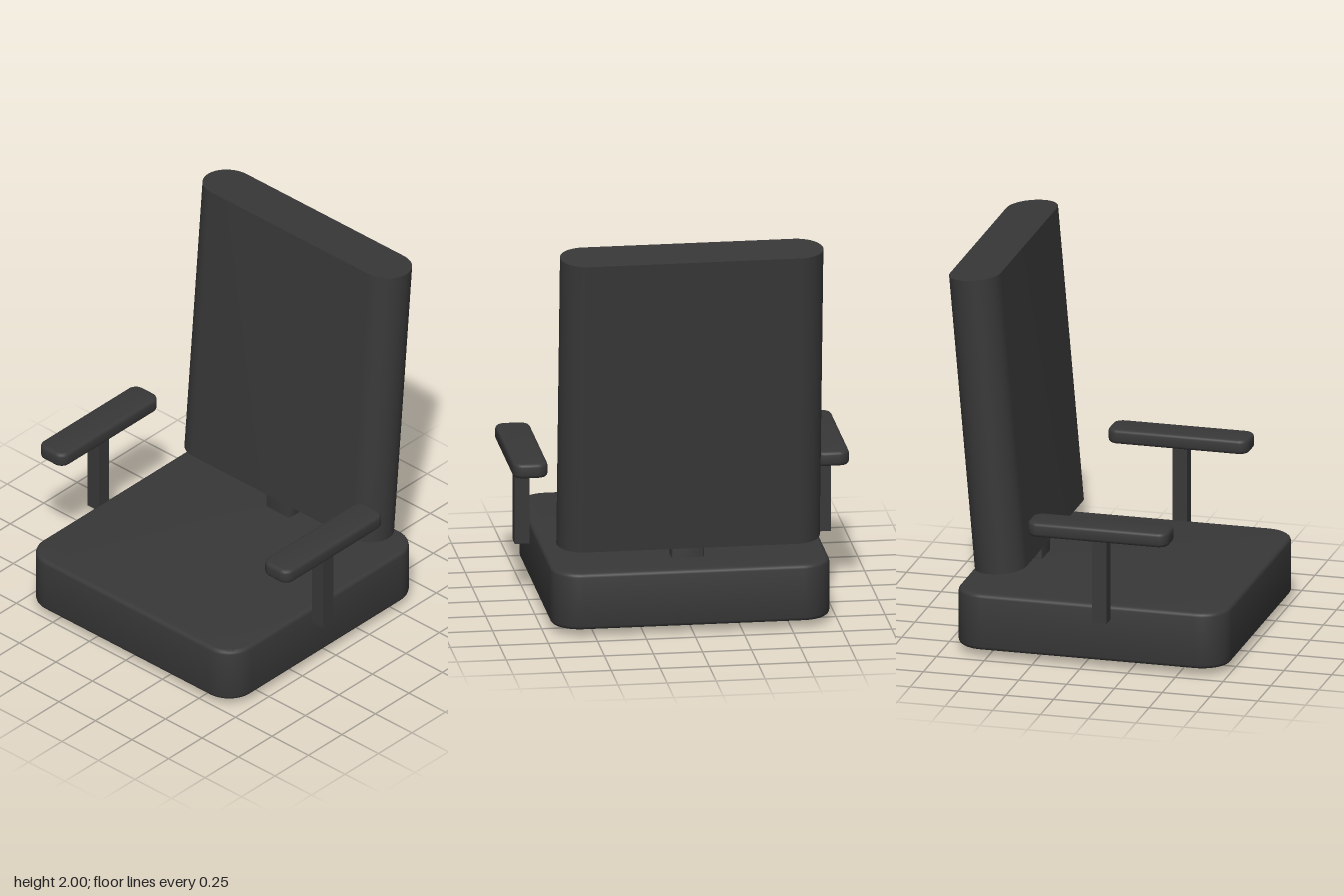
import * as THREE from 'three';
import { toCreasedNormals } from 'three/addons/utils/BufferGeometryUtils.js';

const upholstery = new THREE.MeshStandardMaterial({ color: 0x383838 });
upholstery.name = 'dark grey upholstery';

// Slab centred on its origin: rounded in plan, with an optional soft rim above and below
function roundedSlab(width, height, depth, radius, bevel = 0) {
  const x = width / 2 - bevel, y = depth / 2 - bevel, r = radius - bevel;
  const shape = new THREE.Shape();
  shape.moveTo(-x + r, -y);
  shape.lineTo(x - r, -y);
  shape.absarc(x - r, -y + r, r, -Math.PI / 2, 0);
  shape.lineTo(x, y - r);
  shape.absarc(x - r, y - r, r, 0, Math.PI / 2);
  shape.lineTo(-x + r, y);
  shape.absarc(-x + r, y - r, r, Math.PI / 2, Math.PI);
  shape.lineTo(-x, -y + r);
  shape.absarc(-x + r, -y + r, r, Math.PI, Math.PI * 1.5);
  const geometry = new THREE.ExtrudeGeometry(shape, {
    depth: height - 2 * bevel,
    bevelEnabled: bevel > 0,
    bevelSize: bevel,
    bevelThickness: bevel,
    bevelSegments: 3,
    curveSegments: 8,
  });
  geometry.rotateX(-Math.PI / 2);
  geometry.center();
  return toCreasedNormals(geometry, 0.7);
}

export function createModel() {
  const model = new THREE.Group();
  model.name = 'chair';

  function add(name, geometry, x, y, z, parent = model) {
    const mesh = new THREE.Mesh(geometry, upholstery);
    mesh.name = name;
    mesh.position.set(x, y, z);
    parent.add(mesh);
    return mesh;
  }

  // Seat cushion
  add('seat', roundedSlab(1.42, 0.296, 1.42, 0.15, 0.02), 0, 0.19, 0.03);

  // Backrest, leaning back, with fully rounded sides and flat ends
  const backrest = add('backrest', roundedSlab(1.34, 1.555, 0.266, 0.132), 0, 1.214, -0.537);
  backrest.rotation.x = -0.087;

  // Bracket running through the seat into the backrest
  add('backSupport', roundedSlab(0.166, 0.6, 0.084, 0.012, 0.006), 0, 0.303, -0.423);

  // Armrests: a pad on a square post, on both sides
  const padGeometry = roundedSlab(0.178, 0.076, 0.738, 0.055, 0.018);
  const postGeometry = new THREE.BoxGeometry(0.076, 0.46, 0.076);
  for (const [side, sign] of [['left', 1], ['right', -1]]) {
    const arm = new THREE.Group();
    arm.name = `${side}Armrest`;
    add(`${side}ArmPad`, padGeometry, sign * 0.768, 0.757, 0.115, arm);
    add(`${side}ArmPost`, postGeometry, sign * 0.768, 0.505, 0.118, arm);
    model.add(arm);
  }

  return model;
}
